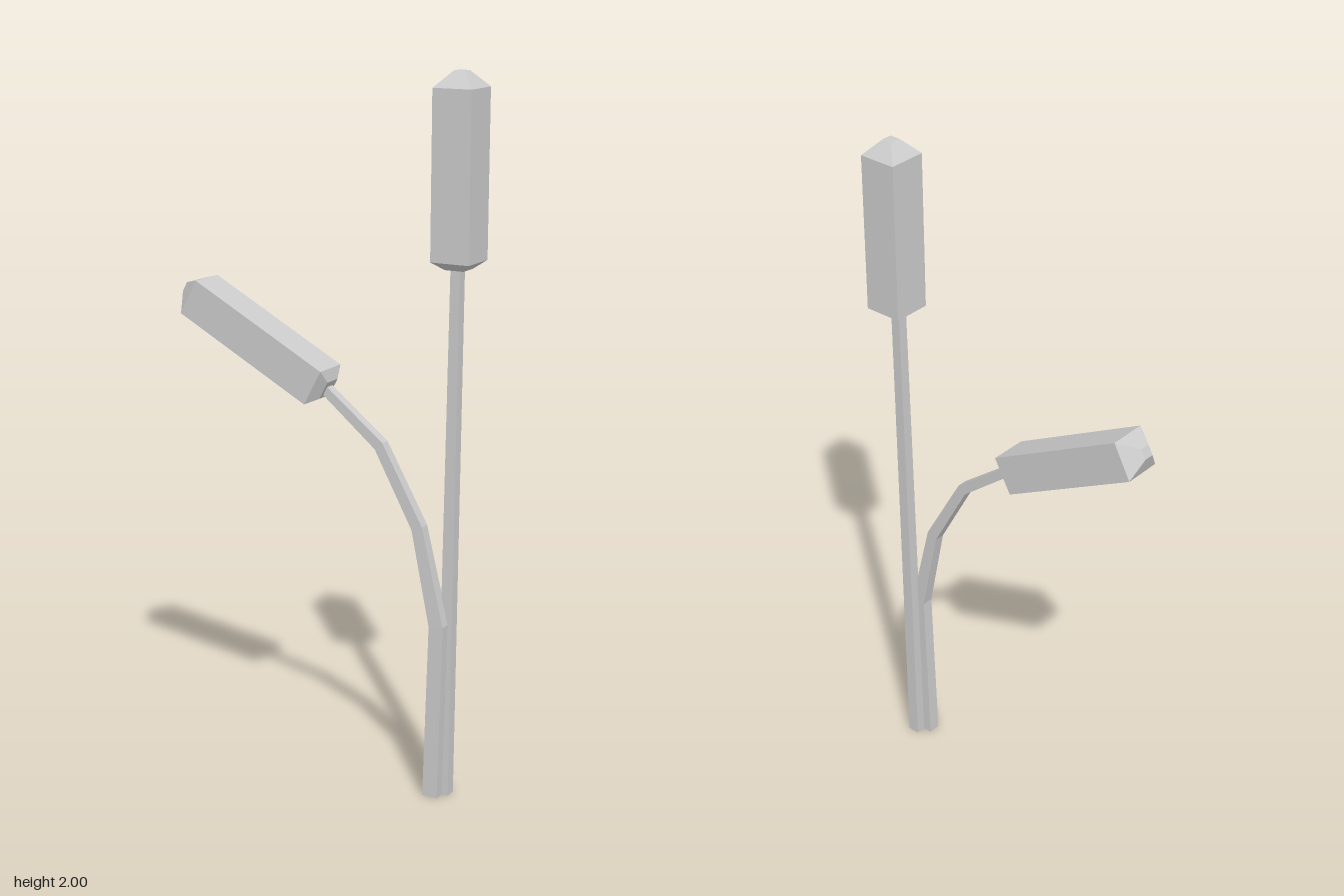
import * as THREE from 'three';

const material = new THREE.MeshStandardMaterial({ color: 0xcccccc, flatShading: true });

// Square cross-sections [x, y, z, width, depth] joined along a path, capped at both ends.
function squareLoft(name, rings) {
  const corners = [[-1, 1], [1, 1], [1, -1], [-1, -1]];
  const positions = [];
  const index = [];
  rings.forEach(([x, y, z, w, d], i) => {
    const dir = new THREE.Vector2();
    for (const k of [i, i + 1]) {
      if (k < 1 || k >= rings.length) continue;
      dir.add(new THREE.Vector2(rings[k][0] - rings[k - 1][0], rings[k][1] - rings[k - 1][1]).normalize());
    }
    dir.normalize();
    for (const [u, v] of corners) {
      positions.push(x + dir.y * u * w / 2, y - dir.x * u * w / 2, z + v * d / 2);
    }
  });
  for (let r = 0; r < rings.length - 1; r++) {
    for (let i = 0; i < 4; i++) {
      const a = r * 4 + i, b = r * 4 + (i + 1) % 4;
      index.push(a, b, b + 4, a, b + 4, a + 4);
    }
  }
  const t = (rings.length - 1) * 4;
  index.push(0, 2, 1, 0, 3, 2, t, t + 1, t + 2, t, t + 2, t + 3);
  let geometry = new THREE.BufferGeometry();
  geometry.setAttribute('position', new THREE.Float32BufferAttribute(positions, 3));
  geometry.setIndex(index);
  geometry = geometry.toNonIndexed();
  geometry.computeVertexNormals();
  const mesh = new THREE.Mesh(geometry, material);
  mesh.name = name;
  return mesh;
}

// Long square seed head with a short tapered base and a blunt pyramid tip.
function seedHead(name, base, axis, length, width) {
  const sections = [[0, 0.055], [0.022, width], [length - 0.043, width], [length, 0.03]];
  return squareLoft(name, sections.map(([s, w]) =>
    [base[0] + axis[0] * s, base[1] + axis[1] * s, base[2], w, w]));
}

export function createModel() {
  const group = new THREE.Group();
  group.name = 'reedPlant';

  // Upright reed
  group.add(squareLoft('uprightStalk', [
    [0.38, 0, -0.004, 0.036, 0.033],
    [0.392, 1.5, -0.01, 0.028, 0.029],
  ]));
  group.add(seedHead('uprightSeedHead', [0.392, 1.483, -0.016], [0, 1], 0.517, 0.112));

  // Bent reed, arching toward -x
  group.add(squareLoft('bentStalk', [
    [0.357, 0, 0.026, 0.045, 0.036],
    [0.367, 0.5, 0.023, 0.043, 0.034],
    [0.302, 0.77, 0.018, 0.034, 0.031],
    [0.181, 0.985, 0.016, 0.031, 0.03],
    [-0.005, 1.132, 0.014, 0.026, 0.028],
  ]));
  group.add(seedHead('bentSeedHead', [0.014, 1.122, 0.014], [-0.882, 0.471], 0.52, 0.11));

  return group;
}
